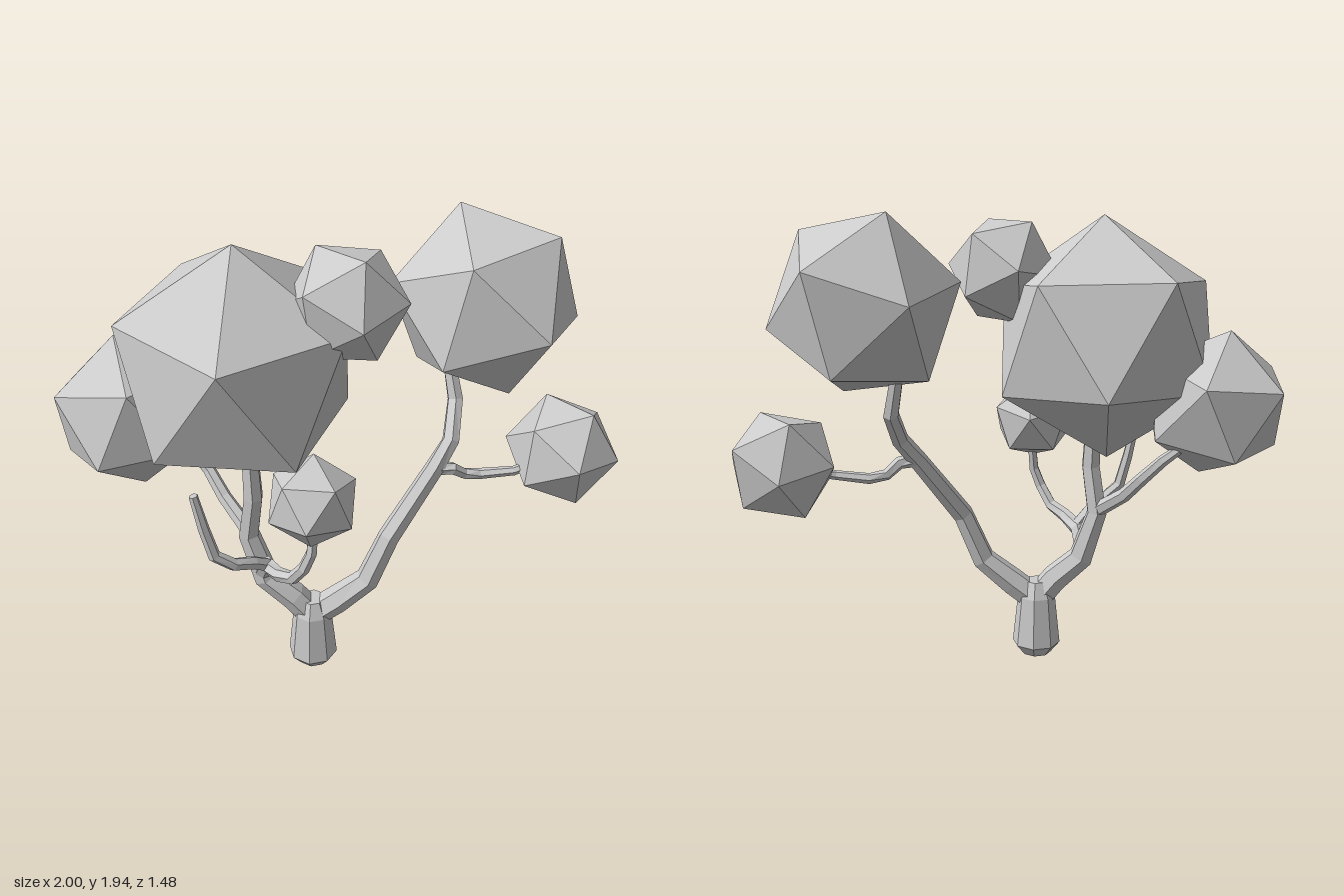
import * as THREE from 'three';

const material = new THREE.MeshStandardMaterial({ color: 0xcccccc, flatShading: true });
const UP = new THREE.Vector3(0, 1, 0);

// Faceted limb: each point is [x, y, z, radius]; rings follow the path, ends are closed.
function limb(name, points, sides = 6) {
  const centres = points.map(p => new THREE.Vector3(p[0], p[1], p[2]));
  const last = points.length - 1;
  const positions = [];
  const index = [];
  const addRing = (i, radius) => {
    const tangent = centres[Math.min(i + 1, last)].clone().sub(centres[Math.max(i - 1, 0)]).normalize();
    const turn = new THREE.Quaternion().setFromUnitVectors(UP, tangent);
    for (let s = 0; s < sides; s++) {
      const a = ((s + 0.5) / sides) * Math.PI * 2;
      const v = new THREE.Vector3(Math.sin(a) * radius, 0, Math.cos(a) * radius);
      v.applyQuaternion(turn).add(centres[i]);
      positions.push(v.x, v.y, v.z);
    }
  };
  addRing(0, 0);
  points.forEach((p, i) => addRing(i, p[3]));
  addRing(last, 0);
  for (let r = 0; r < points.length + 1; r++) {
    for (let s = 0; s < sides; s++) {
      const a = r * sides + s;
      const b = r * sides + (s + 1) % sides;
      if (r > 0) index.push(a, b, a + sides);
      if (r < points.length) index.push(b, b + sides, a + sides);
      else index.pop(), index.pop(), index.pop(), index.push(a, b, a + sides);
    }
  }
  const geometry = new THREE.BufferGeometry();
  geometry.setAttribute('position', new THREE.Float32BufferAttribute(positions, 3));
  geometry.setIndex(index);
  geometry.computeVertexNormals();
  const mesh = new THREE.Mesh(geometry, material);
  mesh.name = name;
  return mesh;
}

// Orthonormal frame from two directions.
function frame(a, b) {
  const x = a.clone().normalize();
  const z = a.clone().cross(b).normalize();
  return new THREE.Matrix4().makeBasis(x, z.clone().cross(x), z);
}

// Icosahedral leaf clump, turned so two neighbouring corners point along a and b.
function clump(name, centre, radius, a, b) {
  const g = (1 + Math.sqrt(5)) / 2;
  const from = frame(new THREE.Vector3(-1, g, 0), new THREE.Vector3(1, g, 0));
  const to = frame(new THREE.Vector3(...a), new THREE.Vector3(...b));
  const mesh = new THREE.Mesh(new THREE.IcosahedronGeometry(radius, 0), material);
  mesh.geometry.applyMatrix4(to.multiply(from.transpose()));
  mesh.position.set(...centre);
  mesh.name = name;
  return mesh;
}

export function createModel() {
  const tree = new THREE.Group();
  tree.name = 'tree';

  // Trunk and the two main boughs
  tree.add(limb('trunk', [
    [0, 0, 0.22, 0.065], [0, 0.05, 0.22, 0.105], [0, 0.27, 0.22, 0.082], [0, 0.34, 0.22, 0.05],
  ], 8));
  tree.add(limb('leftBough', [
    [0, 0.25, 0.22, 0.06], [0.09, 0.33, 0.17, 0.06], [0.2, 0.44, 0.1, 0.052], [0.265, 0.65, 0.04, 0.046],
    [0.37, 0.92, -0.14, 0.04], [0.4, 1.02, -0.22, 0.037], [0.36, 1.15, -0.33, 0.034], [0.31, 1.32, -0.35, 0.028],
  ]));
  tree.add(limb('rightBough', [
    [0, 0.25, 0.22, 0.06], [-0.07, 0.35, 0.26, 0.06], [-0.17, 0.45, 0.31, 0.056], [-0.235, 0.66, 0.33, 0.046],
    [-0.2, 0.86, 0.335, 0.042], [-0.21, 1.06, 0.33, 0.036],
  ]));

  // Twigs
  tree.add(limb('leftTwig', [
    [0.38, 0.92, -0.15, 0.03], [0.43, 0.91, -0.19, 0.027], [0.46, 0.867, -0.24, 0.024],
    [0.51, 0.855, -0.29, 0.023], [0.63, 0.87, -0.36, 0.02], [0.72, 0.9, -0.46, 0.018],
  ]));
  tree.add(limb('rightTwig', [
    [-0.22, 0.66, 0.33, 0.034], [-0.38, 0.77, 0.29, 0.03], [-0.47, 0.86, 0.265, 0.027],
    [-0.56, 0.95, 0.265, 0.024], [-0.62, 1.0, 0.28, 0.02],
  ]));
  tree.add(limb('middleTwig', [
    [-0.19, 0.45, 0.31, 0.04], [-0.13, 0.56, 0.36, 0.036], [-0.03, 0.59, 0.42, 0.03], [0.05, 0.62, 0.44, 0.027],
    [0.11, 0.7, 0.45, 0.025], [0.14, 0.78, 0.44, 0.023], [0.14, 0.9, 0.42, 0.02],
  ]));
  tree.add(limb('frontTwig', [
    [-0.12, 0.57, 0.37, 0.03], [-0.14, 0.62, 0.44, 0.028], [-0.17, 0.66, 0.53, 0.027],
    [-0.22, 0.72, 0.585, 0.026], [-0.25, 0.85, 0.6, 0.023], [-0.28, 1.0, 0.61, 0.018],
  ]));

  // Leaf clumps
  tree.add(clump('mainFoliage', [-0.273, 1.425, 0.3], 0.497, [0.03, 0.495, 0.03], [-0.304, 0.211, 0.33]));
  tree.add(clump('rightFoliage', [-0.7, 1.17, 0.45], 0.314, [-0.065, 0.306, -0.025], [-0.156, 0.13, 0.24]));
  tree.add(clump('leftFoliage', [0.435, 1.585, -0.385], 0.388, [-0.146, 0.36, -0.035], [0.25, 0.285, -0.065]));
  tree.add(clump('topFoliage', [0.11, 1.697, 0.128], 0.237, [-0.216, -0.022, 0.068], [-0.15, 0.21, 0]));
  tree.add(clump('middleFoliage', [0.137, 1.015, 0.425], 0.184, [-0.171, 0.065, 0], [-0.01, 0.178, -0.05]));
  tree.add(clump('outerLeftFoliage', [0.768, 0.933, -0.525], 0.236, [0.23, -0.011, -0.045], [0.118, 0.204, 0.015]));

  return tree;
}
